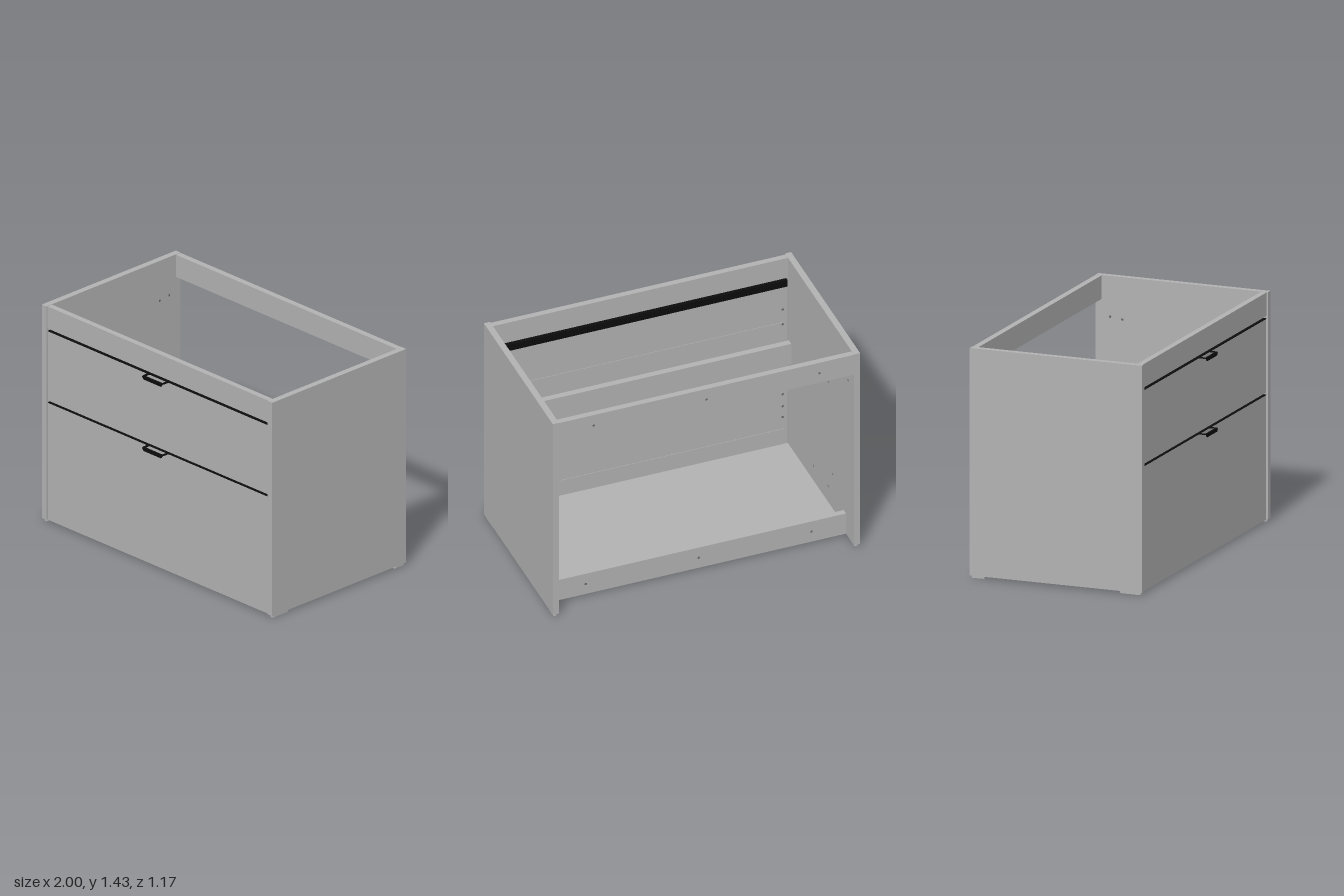
import * as THREE from 'three';

export function createModel() {
  const model = new THREE.Group();
  model.name = 'drawerCabinet';
  const grey = new THREE.MeshStandardMaterial({ color: 0xb2b2b2 });
  grey.name = 'panel grey';
  const black = new THREE.MeshStandardMaterial({ color: 0x0c0c0c });
  black.name = 'handle black';
  const dark = new THREE.MeshStandardMaterial({ color: 0x6a6a6a });
  dark.name = 'drill hole grey';

  const add = (name, geometry, material, x = 0, y = 0, z = 0) => {
    const mesh = new THREE.Mesh(geometry, material);
    mesh.name = name;
    mesh.position.set(x, y, z);
    model.add(mesh);
    return mesh;
  };
  // Box given by its limits on each axis
  const box = (name, x0, x1, y0, y1, z0, z1, material = grey) =>
    add(name, new THREE.BoxGeometry(x1 - x0, y1 - y0, z1 - z0), material,
      (x0 + x1) / 2, (y0 + y1) / 2, (z0 + z1) / 2);

  const inner = 0.96;

  // Carcass rails and floor
  box('frontTopRail', -inner, inner, 1.285, 1.432, 0.498, 0.536);
  box('backTopRail', -inner, inner, 1.285, 1.432, -0.585, -0.546);
  box('middleRail', -inner, inner, 0.68, 0.83, 0.442, 0.482);
  box('backBottomRail', -inner, inner, 0.015, 0.165, -0.455, -0.416);
  box('floorPanel', -inner, inner, 0.017, 0.056, -0.416, 0.498);

  // Side panels with foot pads
  const footGeometry = (length) => {
    const r = 0.014, h = length / 2 - r;
    const s = new THREE.Shape();
    s.absarc(0, h, r, 0, Math.PI);
    s.absarc(0, -h, r, Math.PI, 2 * Math.PI);
    const g = new THREE.ExtrudeGeometry(s, { depth: 0.015, bevelEnabled: false, curveSegments: 8 });
    return g.rotateX(-Math.PI / 2);
  };
  for (const side of [-1, 1]) {
    const x = side * 0.98;
    box('sidePanel', x - 0.02, x + 0.02, 0.015, 1.434, -0.585, 0.545);
    add('frontFoot', footGeometry(0.14), grey, x, 0, 0.465);
    add('backFoot', footGeometry(0.088), grey, x, 0, -0.536);
  }

  // U-shaped pull with a tapered lip, seen from above
  const pull = new THREE.Shape();
  pull.moveTo(-0.09, 0);
  pull.lineTo(-0.09, 0.035);
  pull.quadraticCurveTo(-0.09, 0.05, -0.075, 0.05);
  pull.lineTo(0.075, 0.05);
  pull.quadraticCurveTo(0.09, 0.05, 0.09, 0.035);
  pull.lineTo(0.09, 0);
  pull.lineTo(0.074, 0);
  pull.lineTo(0.074, 0.03);
  pull.quadraticCurveTo(0.074, 0.036, 0.068, 0.036);
  pull.lineTo(-0.068, 0.036);
  pull.quadraticCurveTo(-0.074, 0.036, -0.074, 0.03);
  pull.lineTo(-0.074, 0);
  pull.closePath();
  const pullPlate = new THREE.ExtrudeGeometry(pull, { depth: 0.005, bevelEnabled: false, curveSegments: 6 })
    .rotateX(Math.PI / 2);
  const lip = new THREE.Shape([[-0.088, 0], [-0.076, -0.017], [0.076, -0.017], [0.088, 0]]
    .map(([x, y]) => new THREE.Vector2(x, y)));
  const pullLip = new THREE.ExtrudeGeometry(lip, { depth: 0.006, bevelEnabled: false });

  // Two drawer fronts with black edge profiles, pulls and bottom channels
  for (const [bottom, top] of [[0.015, 0.793], [0.808, 1.268]]) {
    box('drawerFront', -0.956, 0.956, bottom, top, 0.498, 0.536);
    box('edgeProfileTop', -0.956, 0.956, top, top + 0.004, 0.49, 0.537, black);
    box('edgeProfileBack', -0.956, 0.956, top - 0.042, top + 0.004, 0.49, 0.498, black);
    add('pullPlate', pullPlate, black, 0, top + 0.004, 0.536);
    add('pullLip', pullLip, black, 0, top, 0.58);
    box('drawerChannel', -0.94, 0.94, bottom + 0.115, bottom + 0.155, 0.495, 0.498);
  }

  // Drill holes: thin discs on the rails and inner walls
  const disc = new THREE.CircleGeometry(0.008, 12);
  for (const x of [-0.735, 0, 0.735]) {
    for (const [y, z] of [[1.355, -0.586], [0.09, -0.456]]) {
      add('railHole', disc, dark, x, y, z).rotation.y = Math.PI;
    }
  }
  const wallHoles = [[1.18, -0.49], [1.17, -0.41], [0.95, -0.165], [0.315, -0.24], [0.165, 0.08], [0.175, -0.165]];
  for (const side of [-1, 1]) {
    for (const [y, z] of wallHoles) {
      add('wallHole', disc, dark, side * 0.959, y, z).rotation.y = -side * Math.PI / 2;
    }
    for (const y of [1.06, 0.95, 0.62, 0.52, 0.43, 0.34, 0.26]) {
      add('frontHole', disc, dark, side * 0.925, y, 0.494).rotation.y = Math.PI;
    }
  }
  return model;
}
